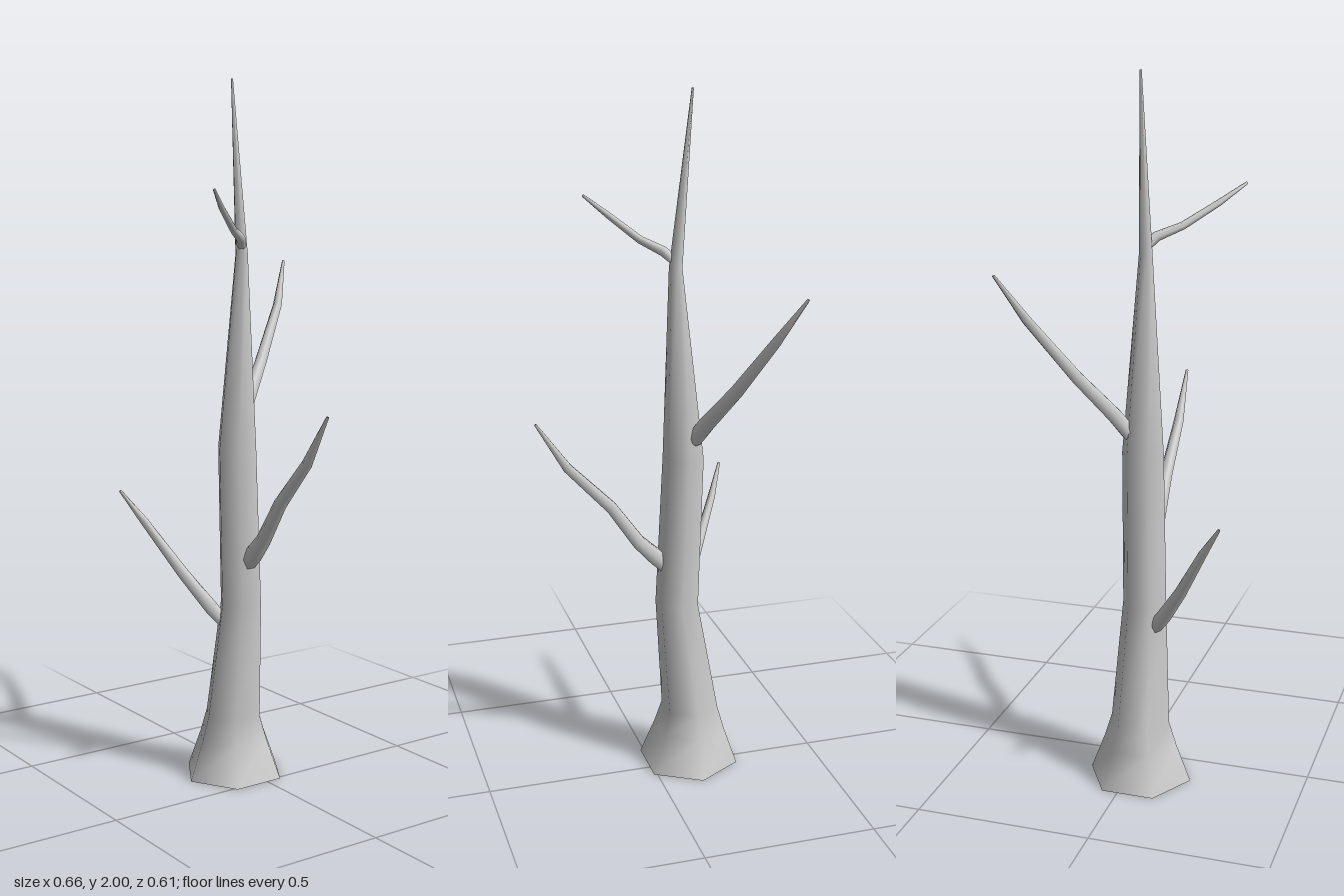
import * as THREE from 'three';

const SIDES = 6;

// Skins a smooth six-sided tube through stations [x, y, z, radius].
// Level rings stay horizontal; otherwise each ring faces along the path.
function limb(name, stations, level) {
  const points = stations.map(([x, y, z]) => new THREE.Vector3(x, y, z));
  const last = points.length - 1;
  const positions = [], index = [];
  points.forEach((p, i) => {
    const dir = level
      ? new THREE.Vector3(0, 1, 0)
      : points[Math.min(i + 1, last)].clone().sub(points[Math.max(i - 1, 0)]).normalize();
    const ref = level ? new THREE.Vector3(1, 0, 0) : new THREE.Vector3(0, 1, 0);
    const u = ref.clone().cross(dir).normalize();
    const v = dir.clone().cross(u);
    for (let s = 0; s < SIDES; s++) {
      const a = (s / SIDES) * Math.PI * 2, r = stations[i][3];
      const q = p.clone().addScaledVector(u, Math.cos(a) * r).addScaledVector(v, Math.sin(a) * r);
      positions.push(q.x, q.y, q.z);
    }
  });
  for (let i = 0; i < last; i++) {
    for (let s = 0; s < SIDES; s++) {
      const a = i * SIDES + s, b = i * SIDES + (s + 1) % SIDES;
      index.push(a, b, b + SIDES, a, b + SIDES, a + SIDES);
    }
  }
  // Closed tip
  const tip = last * SIDES;
  for (let s = 1; s < SIDES - 1; s++) index.push(tip, tip + s, tip + s + 1);

  const geometry = new THREE.BufferGeometry();
  geometry.setAttribute('position', new THREE.Float32BufferAttribute(positions, 3));
  geometry.setIndex(index);
  geometry.computeVertexNormals();
  const mesh = new THREE.Mesh(
    geometry,
    new THREE.MeshStandardMaterial({ color: 0xcccccc, side: THREE.DoubleSide })
  );
  mesh.name = name;
  return mesh;
}

export function createModel() {
  const tree = new THREE.Group();
  tree.name = 'bareTree';

  // Trunk with flared foot, slight bends and a pointed top
  tree.add(limb('trunk', [
    [-0.12, 0, 0.03, 0.15],
    [-0.122, 0.11, 0.03, 0.108],
    [-0.123, 0.18, 0.03, 0.086],
    [-0.081, 0.52, 0.03, 0.064],
    [-0.098, 0.97, 0.03, 0.06],
    [-0.073, 1.52, 0.03, 0.019],
    [-0.118, 2, 0.03, 0.003],
  ], true));

  // Underside of the trunk
  const base = new THREE.Mesh(
    new THREE.CircleGeometry(0.15, SIDES, Math.PI / 2),
    new THREE.MeshStandardMaterial({ color: 0xcccccc })
  );
  base.rotation.x = Math.PI / 2;
  base.position.set(-0.12, 0, 0.03);
  base.name = 'trunkBase';
  tree.add(base);

  // Branches, from lowest to highest
  tree.add(limb('frontRightBranch', [
    [-0.115, 0.465, 0.07, 0.02],
    [-0.13, 0.505, 0.1, 0.021],
    [-0.18, 0.605, 0.163, 0.017],
    [-0.257, 0.755, 0.245, 0.012],
    [-0.299, 0.845, 0.3, 0.004],
  ]));
  tree.add(limb('leftBranch', [
    [-0.045, 0.645, 0.03, 0.024],
    [-0.015, 0.675, 0.03, 0.026],
    [0.035, 0.725, 0.032, 0.022],
    [0.115, 0.84, 0.033, 0.019],
    [0.24, 0.97, 0.035, 0.015],
    [0.328, 1.105, 0.035, 0.004],
  ]));
  tree.add(limb('backRightBranch', [
    [-0.12, 1.03, 0, 0.023],
    [-0.145, 1.085, -0.035, 0.023],
    [-0.2, 1.2, -0.125, 0.019],
    [-0.268, 1.36, -0.235, 0.014],
    [-0.33, 1.488, -0.302, 0.004],
  ]));
  tree.add(limb('upperBranch', [
    [-0.07, 1.54, 0.032, 0.013],
    [-0.045, 1.563, 0.052, 0.014],
    [0.005, 1.587, 0.11, 0.011],
    [0.072, 1.643, 0.192, 0.009],
    [0.13, 1.692, 0.255, 0.004],
  ]));

  return tree;
}
